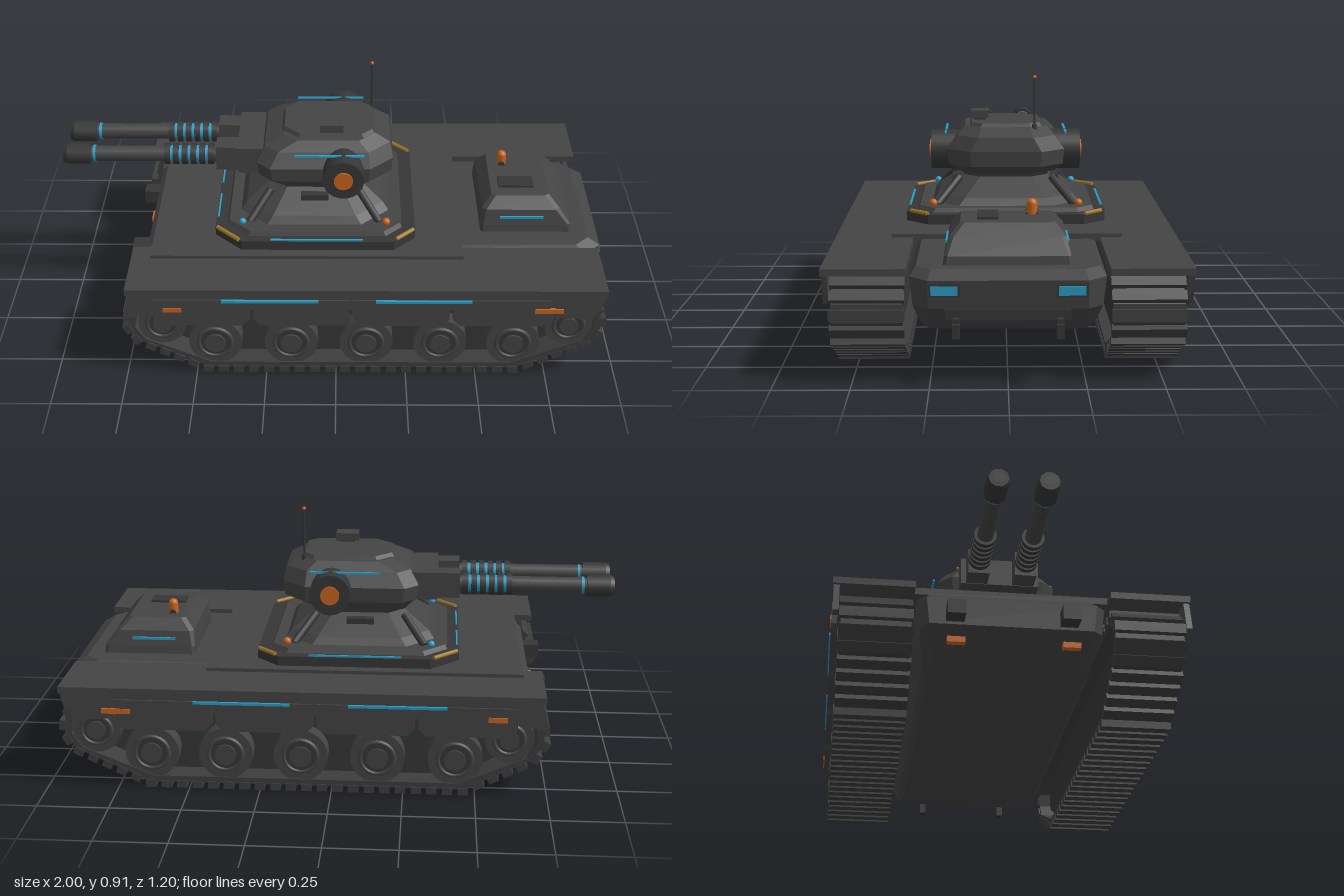
import * as THREE from 'three';

const mat = (name, color) => {
  const m = new THREE.MeshStandardMaterial({ color });
  m.name = name;
  return m;
};

export function createModel() {
  const body = mat('body grey', 0x444444), dark = mat('dark grey', 0x363636), track = mat('track grey', 0x3d3d3d);
  const orange = mat('orange', 0xc8641e), cyan = mat('cyan', 0x2a9cc4), gold = mat('gold', 0xa07a28);
  const root = new THREE.Group();
  root.name = 'tank';

  const add = (name, geo, m, x = 0, y = 0, z = 0, parent = root) => {
    const mesh = new THREE.Mesh(geo, m);
    mesh.name = name;
    mesh.position.set(x, y, z);
    parent.add(mesh);
    return mesh;
  };
  // Box given by its extents
  const box = (name, m, x0, x1, y0, y1, z0, z1, parent) =>
    add(name, new THREE.BoxGeometry(x1 - x0, y1 - y0, z1 - z0), m, (x0 + x1) / 2, (y0 + y1) / 2, (z0 + z1) / 2, parent);
  // Cylinder lying along x or z
  const rodX = (name, m, x0, x1, r, y, z, n = 16, r2 = r) =>
    add(name, new THREE.CylinderGeometry(r, r2, x1 - x0, n).rotateZ(-Math.PI / 2), m, (x0 + x1) / 2, y, z);
  const rodZ = (name, m, z0, z1, r, x, y, n = 24) =>
    add(name, new THREE.CylinderGeometry(r, r, Math.abs(z1 - z0), n).rotateX(Math.PI / 2), m, x, y, (z0 + z1) / 2);
  // Cylinder between two points
  const strut = (name, m, a, b, r) => {
    const p = new THREE.Vector3(...a), q = new THREE.Vector3(...b), d = q.clone().sub(p);
    const mesh = add(name, new THREE.CylinderGeometry(r, r, d.length(), 8), m);
    mesh.position.copy(p).add(q).multiplyScalar(0.5);
    mesh.quaternion.setFromUnitVectors(new THREE.Vector3(0, 1, 0), d.normalize());
  };

  // Horizontal eight-sided section with chamfers c0 (front, -x) and c1 (rear, +x)
  const oct = (y, x0, x1, h, c0, c1 = c0) => [
    [x1, y, h - c1], [x1, y, c1 - h], [x1 - c1, y, -h], [x0 + c0, y, -h],
    [x0, y, c0 - h], [x0, y, h - c0], [x0 + c0, y, h], [x1 - c1, y, h]];
  // Faceted solid from stacked sections
  const loft = (name, m, rings) => {
    const p = [], n = 8, tri = (a, b, c) => p.push(...a, ...b, ...c);
    for (let k = 0; k < rings.length - 1; k++) {
      const a = rings[k], b = rings[k + 1];
      for (let i = 0; i < n; i++) {
        const j = (i + 1) % n;
        tri(a[i], a[j], b[j]);
        tri(a[i], b[j], b[i]);
      }
    }
    const lo = rings[0], hi = rings[rings.length - 1];
    for (let i = 1; i < n - 1; i++) {
      tri(hi[0], hi[i], hi[i + 1]);
      tri(lo[0], lo[i + 1], lo[i]);
    }
    const g = new THREE.BufferGeometry();
    g.setAttribute('position', new THREE.Float32BufferAttribute(p, 3));
    g.computeVertexNormals();
    return add(name, g, m);
  };
  // Upright plate from x,y outline
  const plate = (name, m, pts, z0, z1) => {
    const s = new THREE.Shape(pts.map(q => new THREE.Vector2(...q)));
    return add(name, new THREE.ExtrudeGeometry(s, { depth: z1 - z0, bevelEnabled: false }), m, 0, 0, z0);
  };

  // Hull and decks
  loft('hull', body, [oct(0.145, -0.5, 0.8, 0.265, 0.02), oct(0.17, -0.55, 0.84, 0.285, 0.03),
    oct(0.25, -0.69, 0.95, 0.305, 0.03, 0.05), oct(0.345, -0.69, 0.965, 0.315, 0.03, 0.06), oct(0.372, -0.66, 0.92, 0.295, 0.03, 0.05)]);
  box('upperDeck', body, -0.665, 0.455, 0.366, 0.39, -0.4, 0.4);
  box('rearPlate', dark, 0.93, 0.958, 0.215, 0.25, -0.2, 0.2);

  // Engine housing
  loft('engineHousing', body, [oct(0.37, 0.53, 0.865, 0.21, 0.01), oct(0.4, 0.53, 0.86, 0.205, 0.01),
    oct(0.455, 0.535, 0.82, 0.19, 0.015), oct(0.495, 0.57, 0.78, 0.155, 0.015)]);
  box('engineVent', dark, 0.6, 0.73, 0.49, 0.503, 0.03, 0.1);
  rodZ('beaconBase', dark, -0.105, -0.06, 0.012, 0.625, 0.497, 12);
  add('beacon', new THREE.CylinderGeometry(0.018, 0.018, 0.035, 16), orange, 0.625, 0.512, -0.083);
  add('beaconCap', new THREE.SphereGeometry(0.018, 16, 8), orange, 0.625, 0.529, -0.083);

  // Turret base
  loft('turretPlinth', dark, [oct(0.385, -0.44, 0.285, 0.36, 0.1, 0.08), oct(0.425, -0.44, 0.285, 0.36, 0.1, 0.08)]);
  loft('turretStep', body, [oct(0.42, -0.4, 0.24, 0.325, 0.08, 0.06), oct(0.44, -0.39, 0.23, 0.315, 0.08, 0.06)]);
  loft('turretCone', body, [oct(0.44, -0.35, 0.19, 0.27, 0.1), oct(0.465, -0.33, 0.17, 0.25, 0.1),
    oct(0.53, -0.24, 0.08, 0.155, 0.06), oct(0.565, -0.27, 0.1, 0.17, 0.06)]);

  // Turret head
  loft('turretHead', body, [oct(0.55, -0.24, 0.13, 0.18, 0.06, 0.08), oct(0.585, -0.28, 0.2, 0.21, 0.05, 0.085),
    oct(0.64, -0.29, 0.205, 0.215, 0.05, 0.085), oct(0.69, -0.26, 0.195, 0.18, 0.05, 0.08), oct(0.722, -0.19, 0.14, 0.15, 0.05, 0.06)]);
  loft('turretRoof', body, [oct(0.715, -0.2, 0.14, 0.135, 0.06, 0.04), oct(0.735, -0.19, 0.13, 0.125, 0.06, 0.04)]);
  box('hatchNeck', dark, -0.045, 0.015, 0.73, 0.745, 0.075, 0.118);
  box('hatch', body, -0.06, 0.025, 0.742, 0.77, 0.064, 0.128);
  add('antenna', new THREE.CylinderGeometry(0.004, 0.004, 0.2, 8), dark, 0.13, 0.803, -0.105);
  add('antennaFoot', new THREE.CylinderGeometry(0.009, 0.011, 0.025, 10), dark, 0.13, 0.72, -0.105);
  add('antennaTip', new THREE.SphereGeometry(0.007, 10, 8), orange, 0.13, 0.905, -0.105);
  box('mantlet', body, -0.36, -0.26, 0.58, 0.68, -0.14, 0.14);

  const wheelX = [-0.43, -0.16, 0.107, 0.37, 0.63];
  // Track loop, laid out in x,y
  const loop = [[-0.46, 0.02], [0.64, 0.02], [0.9, 0.14], [0.935, 0.2], [0.93, 0.26], [0.87, 0.32],
    [-0.67, 0.32], [-0.73, 0.26], [-0.735, 0.2], [-0.7, 0.14]].map(q => new THREE.Vector3(...q, 0));
  const path = new THREE.CurvePath();
  loop.forEach((p, i) => path.add(new THREE.LineCurve3(p, loop[(i + 1) % loop.length])));

  for (const s of [1, -1]) {
    const span = (a, b) => (s > 0 ? [a, b] : [-b, -a]);

    // Gun
    const gz = s * 0.083, gy = 0.628;
    box('gunReceiver', body, -0.44, -0.35, 0.582, 0.675, ...span(0.045, 0.122));
    rodX('barrel', body, -0.92, -0.4, 0.029, gy, gz);
    rodX('barrelTip', dark, -0.985, -0.9, 0.04, gy, gz, 10);
    rodX('muzzle', dark, -1, -0.985, 0.04, gy, gz, 10, 0.034);
    rodX('muzzleBore', track, -1.001, -0.999, 0.02, gy, gz);
    rodX('muzzleGlowRing', cyan, -0.892, -0.882, 0.031, gy, gz);
    rodX('coilCore', cyan, -0.625, -0.45, 0.031, gy, gz);
    for (let i = 0; i < 6; i++) rodX('coilRing', dark, -0.63 + i * 0.032, -0.609 + i * 0.032, 0.04, gy, gz);

    // Turret side pod
    rodZ('sidePod', dark, s * 0.15, s * 0.275, 0.074, 0.025, 0.628);
    rodZ('sidePodLight', orange, s * 0.27, s * 0.282, 0.034, 0.025, 0.628);
    box('turretLightStrip', cyan, -0.15, 0.1, 0.694, 0.701, ...span(0.217, 0.225));
    box('pedestalVent', dark, -0.13, -0.03, 0.485, 0.52, ...span(0.17, 0.2));

    // Base lights, corner strips and struts
    box('baseLightStrip', cyan, -0.235, 0.095, 0.424, 0.431, ...span(0.35, 0.357));
    strut('frontCornerStrip', gold, [-0.432, 0.428, s * 0.27], [-0.35, 0.428, s * 0.352], 0.008);
    strut('rearCornerStrip', gold, [0.215, 0.428, s * 0.345], [0.278, 0.428, s * 0.282], 0.008);
    box('sideLightStripFront', cyan, -0.436, -0.43, 0.424, 0.431, ...span(0.04, 0.2));
    add('frontMarker', new THREE.SphereGeometry(0.013, 12, 8), cyan, -0.34, 0.45, s * 0.265);
    add('rearMarker', new THREE.SphereGeometry(0.015, 12, 8), orange, 0.18, 0.45, s * 0.265);
    strut('frontStrut', dark, [-0.315, 0.44, s * 0.25], [-0.24, 0.53, s * 0.17], 0.014);
    strut('rearStrut', dark, [0.155, 0.44, s * 0.25], [0.08, 0.53, s * 0.17], 0.014);

    // Fender and skirts
    box('fender', body, -0.735, 0.945, 0.355, 0.378, ...span(0.325, 0.595));
    plate('skirtRail', body, [[-0.735, 0.29], [0.925, 0.29], [0.945, 0.372], [-0.715, 0.372]], ...span(0.572, 0.588));
    for (let i = 0; i < 4; i++) {
      const a = -0.64 + i * 0.35, b = a + 0.338;
      plate('skirtPanel', body, [[a, 0.335], [a, 0.255], [a + 0.025, 0.228], [b - 0.025, 0.228], [b, 0.255], [b, 0.335]], ...span(0.575, 0.594));
    }
    plate('frontSkirt', body, [[-0.75, 0.25], [-0.65, 0.28], [-0.65, 0.372], [-0.72, 0.372]], ...span(0.572, 0.592));
    plate('rearSkirt', body, [[0.77, 0.265], [0.9, 0.255], [0.935, 0.372], [0.76, 0.372]], ...span(0.572, 0.592));
    box('frontMark', orange, -0.605, -0.54, 0.285, 0.303, ...span(0.59, 0.598));
    box('rearMark', orange, 0.695, 0.795, 0.285, 0.303, ...span(0.588, 0.598));
    box('skirtLightFront', cyan, -0.4, -0.06, 0.327, 0.336, ...span(0.59, 0.599));
    box('skirtLightRear', cyan, 0.14, 0.475, 0.327, 0.336, ...span(0.59, 0.599));

    // Track belt, pads and inner frame
    const belt = new THREE.Shape(loop.map(p => new THREE.Vector2(p.x, p.y)));
    belt.holes.push(new THREE.Path(loop.map(p => new THREE.Vector2(0.1 + (p.x - 0.1) * 0.972, 0.17 + (p.y - 0.17) * 0.85))));
    const bz = span(0.335, 0.565);
    add('trackBelt', new THREE.ExtrudeGeometry(belt, { depth: 0.23, bevelEnabled: false }), track, 0, 0, bz[0]);
    plate('suspensionFrame', dark, [[-0.44, 0.05], [0.62, 0.05], [0.85, 0.16], [0.87, 0.28], [-0.67, 0.28], [-0.65, 0.16]], ...span(0.37, 0.5));
    const pads = new THREE.Group();
    pads.name = 'trackPads';
    root.add(pads);
    const padGeo = new THREE.BoxGeometry(0.036, 0.026, 0.24);
    for (let i = 0; i < 66; i++) {
      const p = path.getPointAt(i / 66), t = path.getTangentAt((i + 0.01) / 66);
      const pad = add('trackPad', padGeo, track, p.x + t.y * 0.007, p.y - t.x * 0.007, s * 0.45, pads);
      pad.rotation.z = Math.atan2(t.y, t.x);
    }

    // Wheels
    const wheel = (name, x, y, r) => {
      rodZ(name, body, s * 0.4, s * 0.56, r, x, y);
      rodZ(name + 'Recess', dark, s * 0.55, s * 0.565, r * 0.65, x, y);
      rodZ(name + 'Hub', body, s * 0.55, s * 0.573, r * 0.4, x, y, 12);
      add(name + 'Rim', new THREE.TorusGeometry(r * 0.62, 0.008, 8, 24), body, x, y, s * 0.562);
    };
    wheelX.forEach(x => wheel('roadWheel', x, 0.13, 0.095));
    wheel('frontIdler', -0.615, 0.21, 0.085);
    wheel('rearSprocket', 0.823, 0.21, 0.085);

    // Hull end fittings
    box('rearLamp', cyan, 0.958, 0.969, 0.297, 0.327, ...span(0.16, 0.245));
    box('rearLampHousing', dark, 0.93, 0.963, 0.29, 0.334, ...span(0.152, 0.253));
    box('rearHookArm', dark, 0.88, 0.985, 0.205, 0.225, ...span(0.155, 0.175));
    box('rearHook', dark, 0.965, 1, 0.165, 0.21, ...span(0.153, 0.177));
    box('frontBumper', dark, -0.755, -0.68, 0.26, 0.31, ...span(0.16, 0.22));
    box('frontMarkerBar', orange, -0.735, -0.71, 0.165, 0.185, ...span(0.16, 0.22));
    box('engineLight', cyan, 0.6, 0.76, 0.423, 0.432, ...span(0.194, 0.203));
  }
  return root;
}
